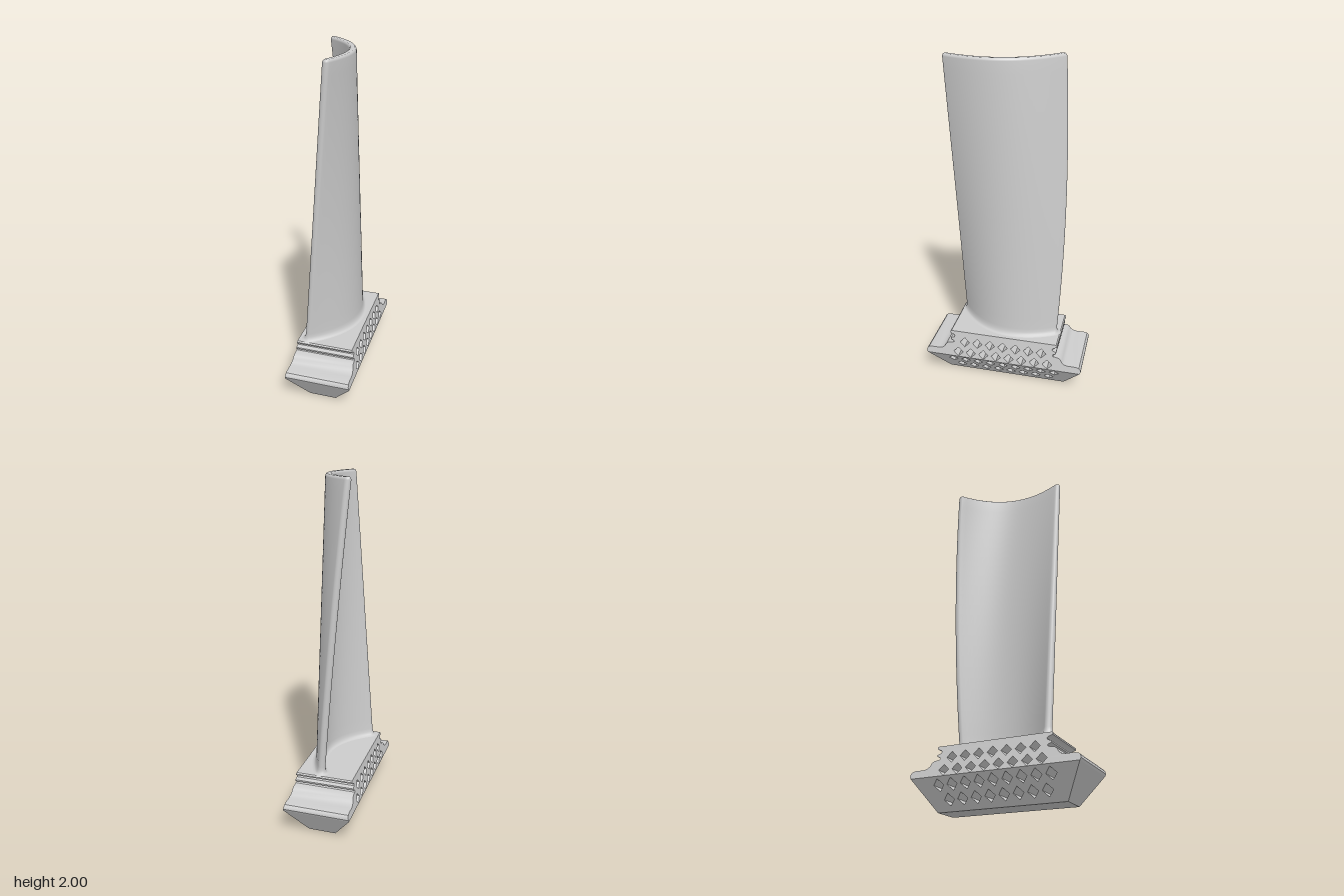
import * as THREE from 'three';
import { toCreasedNormals } from 'three/addons/utils/BufferGeometryUtils.js';

const material = new THREE.MeshStandardMaterial({ color: 0xcccccc });
const lerp = THREE.MathUtils.lerp;
const SEAM = 0.168; // widest level of the root
const HOLE = 0.03, PITCH = 0.08;

// Slab with a mirrored side profile of [half length, y], rows of diamond
// through-holes, and a half width that changes linearly with height.
function rootSlab(name, profile, rows, y0, w0, y1, w1) {
  const mirrored = profile.map(([z, y]) => [-z, y]).reverse();
  const shape = new THREE.Shape([...profile, ...mirrored].map(p => new THREE.Vector2(...p)));
  for (const [count, y] of rows) {
    for (let i = 0; i < count; i++) {
      const z = (i - (count - 1) / 2) * PITCH;
      shape.holes.push(new THREE.Path([
        new THREE.Vector2(z + HOLE, y), new THREE.Vector2(z, y - HOLE),
        new THREE.Vector2(z - HOLE, y), new THREE.Vector2(z, y + HOLE),
      ]));
    }
  }
  const geometry = new THREE.ExtrudeGeometry(shape, { depth: 2, bevelEnabled: false });
  geometry.translate(0, 0, -1).rotateY(Math.PI / 2);
  const pos = geometry.attributes.position;
  for (let i = 0; i < pos.count; i++) {
    const width = lerp(w0, w1, (pos.getY(i) - y0) / (y1 - y0));
    pos.setX(i, pos.getX(i) * width);
  }
  const mesh = new THREE.Mesh(toCreasedNormals(geometry, 0.6), material);
  mesh.name = name;
  return mesh;
}

// Outline of the curved airfoil at height y with half thickness h
const SPAN = 32, CAP = 8, BASE = 0.335;
function airfoilLoop(y, h) {
  const t = (y - BASE) / (2 - BASE);
  const back = new THREE.Vector2(lerp(0.03, -0.117, t), -(0.285 - 0.02 * t + 0.115 * t * (1 - t)));
  const front = new THREE.Vector2(lerp(-0.108, 0.031, t), lerp(0.285, 0.336, t));
  const chord = front.clone().sub(back);
  const side = new THREE.Vector2(chord.y, -chord.x).normalize();
  const bulge = lerp(0.133, 0.115, t);
  // point at distance h from the camber line, turned by angle a from its normal
  const point = (u, a) => {
    const p = back.clone().addScaledVector(chord, u).addScaledVector(side, 4 * bulge * u * (1 - u));
    const tangent = chord.clone().addScaledVector(side, 4 * bulge * (1 - 2 * u)).normalize();
    const normal = new THREE.Vector2(tangent.y, -tangent.x);
    p.addScaledVector(normal, h * Math.cos(a)).addScaledVector(tangent, h * Math.sin(a));
    return [p.x, y, p.y];
  };
  const loop = [];
  for (let i = 0; i <= SPAN; i++) loop.push(point(i / SPAN, 0));
  for (let i = 1; i < CAP; i++) loop.push(point(1, Math.PI * i / CAP));
  for (let i = SPAN; i >= 0; i--) loop.push(point(i / SPAN, Math.PI));
  for (let i = 1; i < CAP; i++) loop.push(point(0, Math.PI * (1 + i / CAP)));
  return loop;
}

function blade() {
  // [height, half thickness]: flared fillet, long body, rounded tip
  const rows = [[BASE, 0.045], [0.338, 0.035], [0.345, 0.028], [0.36, 0.023]];
  for (let i = 0; i <= 24; i++) rows.push([lerp(0.38, 1.985, i / 24), lerp(0.021, 0.02, i / 24)]);
  rows.push([1.994, 0.0175], [2, 0.011], [2, 0]);
  const loops = rows.map(([y, h]) => airfoilLoop(y, h));
  const n = loops[0].length;
  const index = [];
  for (let j = 0; j < rows.length - 1; j++) {
    for (let i = 0; i < n; i++) {
      const a = j * n + i, b = j * n + (i + 1) % n;
      index.push(a, a + n, b, b, a + n, b + n);
    }
  }
  const geometry = new THREE.BufferGeometry();
  geometry.setAttribute('position', new THREE.Float32BufferAttribute(loops.flat(2), 3));
  geometry.setIndex(index);
  geometry.computeVertexNormals();
  const mesh = new THREE.Mesh(geometry, material);
  mesh.name = 'blade';
  return mesh;
}

export function createModel() {
  const group = new THREE.Group();
  group.name = 'turbineBlade';

  // Tapered foot
  const foot = [[0.37, 0], [0.48, SEAM]];
  group.add(rootSlab('taperedFoot', foot, [[8, 0.057], [9, 0.127]], 0, 0.08, SEAM, 0.195));

  // Platform with rounded end lips and two grooves at each end
  const platform = [
    [0.48, SEAM], [0.486, 0.18], [0.484, 0.193], [0.474, 0.205], [0.456, 0.21],
    [0.405, 0.21], [0.383, 0.215], [0.368, 0.227], [0.36, 0.244], [0.345, 0.254],
    [0.315, 0.258], [0.308, 0.265], [0.314, 0.272], [0.33, 0.278], [0.33, 0.287],
    [0.308, 0.295], [0.304, 0.303], [0.31, 0.311], [0.334, 0.32], [0.335, 0.328], [0.328, BASE],
  ];
  group.add(rootSlab('platform', platform, [[8, 0.2], [7, 0.268]], SEAM, 0.195, BASE, 0.167));

  group.add(blade());
  return group;
}
